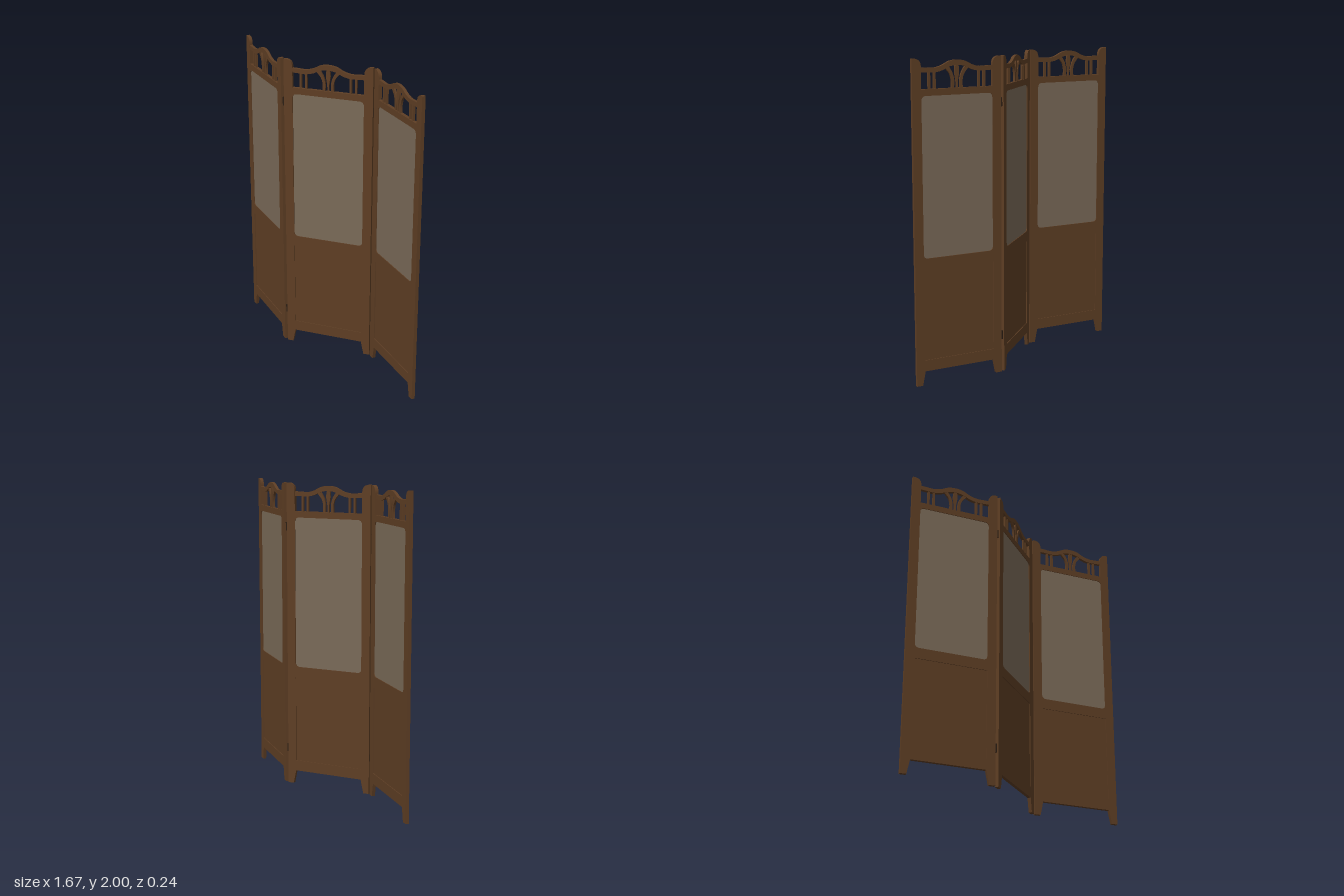
import * as THREE from 'three';

const wood = new THREE.MeshStandardMaterial({ color: 0x5e3e24 });
wood.name = 'brown wood';
const cloth = new THREE.MeshStandardMaterial({ color: 0x7a6a58 });
cloth.name = 'taupe cloth';
const iron = new THREE.MeshStandardMaterial({ color: 0x2e2015 });
iron.name = 'dark hinge metal';

const W = 0.293, IN = 0.235, T = 0.022, ANGLE = Math.PI / 8;

// Flat shape extruded symmetrically about z = 0
function slab(name, shape, depth, material) {
  const geo = new THREE.ExtrudeGeometry(shape, { depth, bevelEnabled: false, curveSegments: 10 });
  geo.translate(0, 0, -depth / 2);
  const mesh = new THREE.Mesh(geo, material);
  mesh.name = name;
  return mesh;
}

function roundedRect(Type, x0, y0, x1, y1, r) {
  const p = new Type();
  p.moveTo(x0 + r, y0);
  p.lineTo(x1 - r, y0);
  p.quadraticCurveTo(x1, y0, x1, y0 + r);
  p.lineTo(x1, y1 - r);
  p.quadraticCurveTo(x1, y1, x1 - r, y1);
  p.lineTo(x0 + r, y1);
  p.quadraticCurveTo(x0, y1, x0, y1 - r);
  p.lineTo(x0, y0 + r);
  p.quadraticCurveTo(x0, y0, x0 + r, y0);
  return p;
}

// Strip that follows centre points [x, y, halfWidth], widened along x or y
function strip(points, alongY) {
  const side = s => new THREE.SplineCurve(points.map(([x, y, h]) =>
    alongY ? new THREE.Vector2(x, y + s * h) : new THREE.Vector2(x + s * h, y))).getPoints(32);
  return new THREE.Shape([...side(-1), ...side(1).reverse()]);
}

// Posts, rails and tapered feet in one outline, with two openings
function frameShape() {
  const s = new THREE.Shape();
  s.moveTo(-W, 0);
  s.lineTo(-0.254, 0);
  s.lineTo(-IN, 0.09);
  s.lineTo(IN, 0.09);
  s.lineTo(0.254, 0);
  s.lineTo(W, 0);
  s.lineTo(W, 2);
  s.lineTo(0.275, 2);
  s.quadraticCurveTo(IN, 1.995, IN, 1.95);
  s.lineTo(IN, 1.82);
  s.lineTo(-IN, 1.82);
  s.lineTo(-IN, 1.95);
  s.quadraticCurveTo(-IN, 1.995, -0.275, 2);
  s.lineTo(-W, 2);
  s.holes.push(roundedRect(THREE.Path, -IN, 0.8, IN, 1.78, 0.03));
  s.holes.push(roundedRect(THREE.Path, -IN, 0.16, IN, 0.73, 0.002));
  return s;
}

function createPanel(name) {
  const g = new THREE.Group();
  g.name = name;
  g.add(slab('frame', frameShape(), T, wood));
  g.add(slab('clothScreen', roundedRect(THREE.Shape, -0.24, 0.795, 0.24, 1.785, 0.02), 0.012, cloth));
  g.add(slab('lowerBoard', roundedRect(THREE.Shape, -0.24, 0.155, 0.24, 0.735, 0.002), 0.012, wood));

  // Wavy crest rail
  const half = [[0, 1.97, 0.016], [0.05, 1.963, 0.016], [0.1, 1.94, 0.015], [0.15, 1.929, 0.014], [0.2, 1.931, 0.014], [0.24, 1.932, 0.014]];
  const crest = [...half.slice(1).reverse().map(([x, y, h]) => [-x, y, h]), ...half];
  g.add(slab('crestRail', strip(crest, true), 0.02, wood));

  // Central leaf, flaring stems and straight spindles
  g.add(slab('centreLeaf', strip([[0, 1.815, 0.005], [0, 1.86, 0.006], [0, 1.91, 0.014], [0, 1.945, 0.012], [0, 1.965, 0.005]], false), 0.014, wood));
  for (const s of [-1, 1]) {
    const stem = [[0.03, 1.815, 0.009], [0.027, 1.86, 0.009], [0.036, 1.9, 0.01], [0.055, 1.93, 0.014], [0.07, 1.95, 0.014]];
    const pts = stem.map(([x, y, h]) => [s * x, y, h]);
    g.add(slab('flaringStem', strip(pts, false), 0.014, wood));
    for (const x of [0.146, 0.181]) {
      const spindle = new THREE.Mesh(new THREE.BoxGeometry(0.014, 0.12, 0.014), wood);
      spindle.name = 'spindle';
      spindle.position.set(s * x, 1.872, 0);
      g.add(spindle);
    }
  }
  return g;
}

export function createModel() {
  const model = new THREE.Group();
  model.name = 'foldingScreen';

  // Three panels in a zigzag
  ['rightPanel', 'middlePanel', 'leftPanel'].forEach((name, i) => {
    const panel = createPanel(name);
    panel.position.x = (i - 1) * 0.558;
    panel.rotation.y = i === 1 ? ANGLE : -ANGLE;
    model.add(panel);
  });

  // Hinges at the folds
  for (const s of [-1, 1]) {
    for (const y of [0.24, 1.72]) {
      const hinge = new THREE.Mesh(new THREE.CylinderGeometry(0.006, 0.006, 0.055, 10), iron);
      hinge.name = 'hinge';
      hinge.position.set(s * 0.279, y, -s * 0.113);
      model.add(hinge);
    }
  }
  return model;
}
